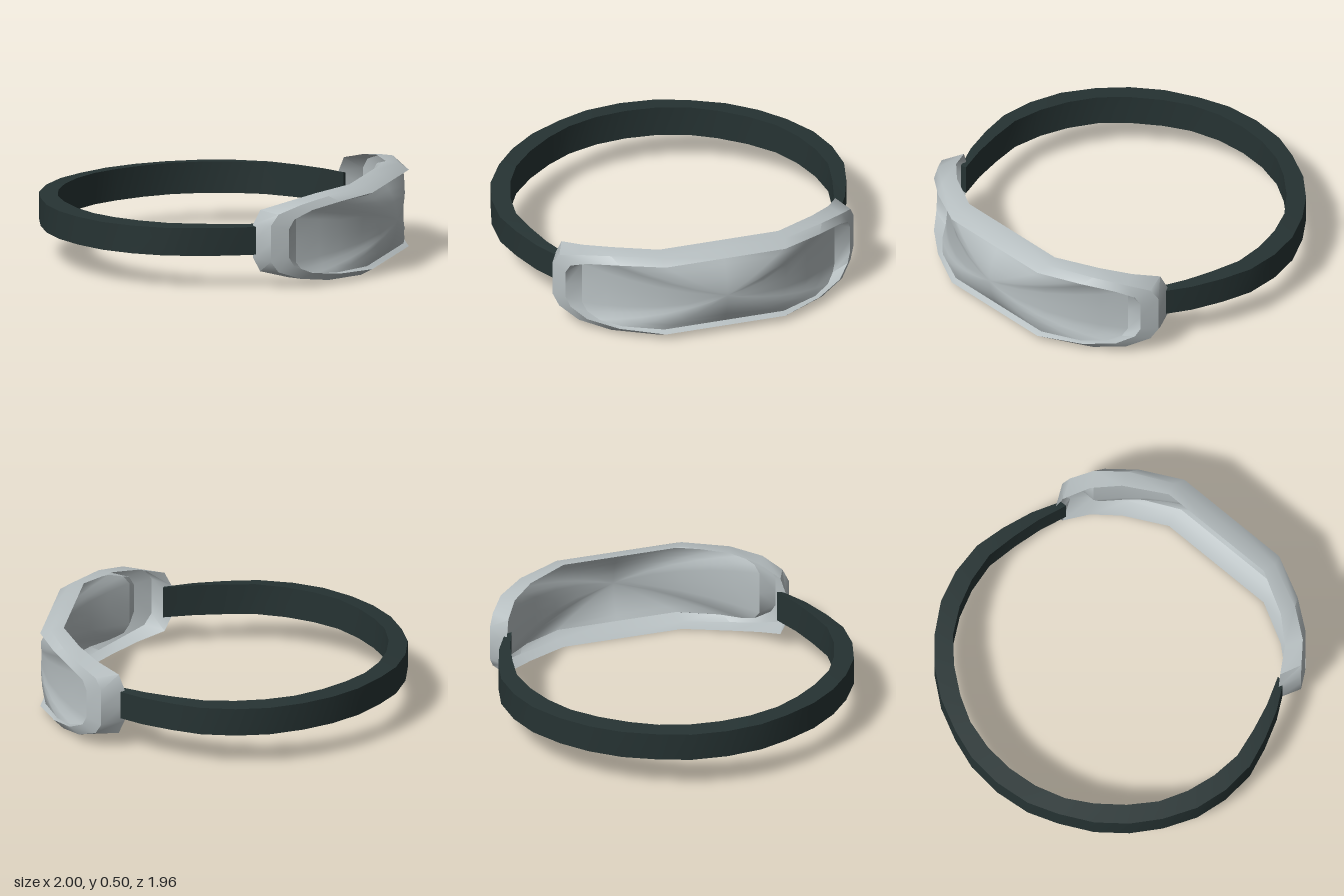
import * as THREE from 'three';
import { toCreasedNormals } from 'three/addons/utils/BufferGeometryUtils.js';

const MID = 0.2525; // height of the centre line

// Skin a list of closed cross-sections
function loft(rings, crease) {
  const pos = [];
  const tri = (a, b, c) => {
    const area = b.clone().sub(a).cross(c.clone().sub(a)).length();
    if (area > 1e-8) for (const p of [a, b, c]) pos.push(p.x, p.y, p.z);
  };
  for (let i = 0; i < rings.length - 1; i++) {
    const r = rings[i], s = rings[i + 1], n = r.length;
    for (let j = 0; j < n; j++) {
      const k = (j + 1) % n;
      tri(r[j], s[k], r[k]);
      tri(r[j], s[j], s[k]);
    }
  }
  const g = new THREE.BufferGeometry();
  g.setAttribute('position', new THREE.Float32BufferAttribute(pos, 3));
  return toCreasedNormals(g, crease);
}

// Straight interpolation through [z, x] pairs
function wrap(pairs, z) {
  for (let i = 1; i < pairs.length; i++) {
    const [z0, x0] = pairs[i - 1], [z1, x1] = pairs[i];
    if (z <= z1) return x0 + (x1 - x0) * (z - z0) / (z1 - z0);
  }
  return pairs[pairs.length - 1][1];
}

// Mirror a quarter outline of [z, y] into a full ring bent along a curve
function ring(quarter, curve) {
  const half = [...quarter, ...quarter.slice(0, -1).reverse().map(([z, y]) => [-z, y])];
  const full = [...half, ...half.slice(1, -1).reverse().map(([z, y]) => [z, -y])];
  return full.map(([z, y]) => new THREE.Vector3(wrap(curve, Math.abs(z)), MID + y, z));
}

export function createModel() {
  const group = new THREE.Group();
  const grey = new THREE.MeshStandardMaterial({ color: 0xb7bfc1, side: THREE.DoubleSide });
  grey.name = 'pale grey';
  const dark = new THREE.MeshStandardMaterial({ color: 0x263333, side: THREE.DoubleSide });
  dark.name = 'dark strap';
  const add = (name, geo, mat) => {
    const m = new THREE.Mesh(geo, mat);
    m.name = name;
    group.add(m);
  };

  // Frame: back edge, widest line, front lip, lens seat
  const back = ring(
    [[.8, 0], [.8, .09], [.78, .17], [.7, .21], [.57, .238], [.34, .252], [0, .252]],
    [[0, .83], [.34, .83], [.58, .70], [.71, .58], [.8, .42]]);
  const wide = ring(
    [[.857, 0], [.857, .1], [.83, .16], [.75, .205], [.6, .233], [.36, .243], [0, .243]],
    [[0, .9], [.36, .9], [.6, .79], [.75, .68], [.857, .54]]);
  const lip = ring(
    [[.81, 0], [.81, .08], [.79, .13], [.72, .175], [.57, .2], [.34, .212], [0, .212]],
    [[0, .96], [.34, .96], [.55, .86], [.7, .76], [.81, .63]]);
  const seat = ring(
    [[.72, 0], [.72, .12], [.7, .165], [.65, .19], [.55, .197], [.34, .197], [0, .197]],
    [[0, .93], [.34, .93], [.55, .83], [.65, .74], [.72, .64]]);
  add('frame', loft([back, wide, lip, seat], 0.75), grey);

  // Lens: domed from the seat to a central high point
  const apex = new THREE.Vector3(1, MID, 0);
  const lensRings = [1, .85, .7, .5, .3, .12, 0].map(t => seat.map(p => {
    const q = p.clone().lerp(apex, 1 - t);
    q.x = p.x + (1 - p.x) * (1 - t * t);
    return q;
  }));
  add('lens', loft(lensRings, 1), grey);

  // Strap: outer [x, z] and inner [x, z] at each station, tapering to the ends
  const stations = [
    [.46, .80, .46, .76], [.31, .88, .30, .82], [.14, .94, .14, .86], [-.03, .98, -.03, .89],
    [-.22, .97, -.20, .87], [-.40, .92, -.36, .82], [-.57, .82, -.51, .74], [-.71, .70, -.64, .62],
    [-.83, .55, -.75, .48], [-.92, .37, -.83, .34], [-.98, .20, -.88, .17], [-1, 0, -.895, 0]];
  const section = ([xo, zo, xi, zi], s) => [[xo, -.077, zo], [xo, .077, zo], [xi, .087, zi], [xi, -.087, zi]]
    .map(([x, y, z]) => new THREE.Vector3(x, MID + .004 + y, s * z));
  const strap = [
    ...stations.map(p => section(p, -1)),
    ...stations.slice(0, -1).reverse().map(p => section(p, 1))];
  const cap = r => {
    const c = new THREE.Vector3();
    r.forEach(p => c.addScaledVector(p, 1 / r.length));
    return r.map(() => c);
  };
  add('strap', loft([cap(strap[0]), ...strap, cap(strap[strap.length - 1])], 0.6), dark);

  return group;
}
